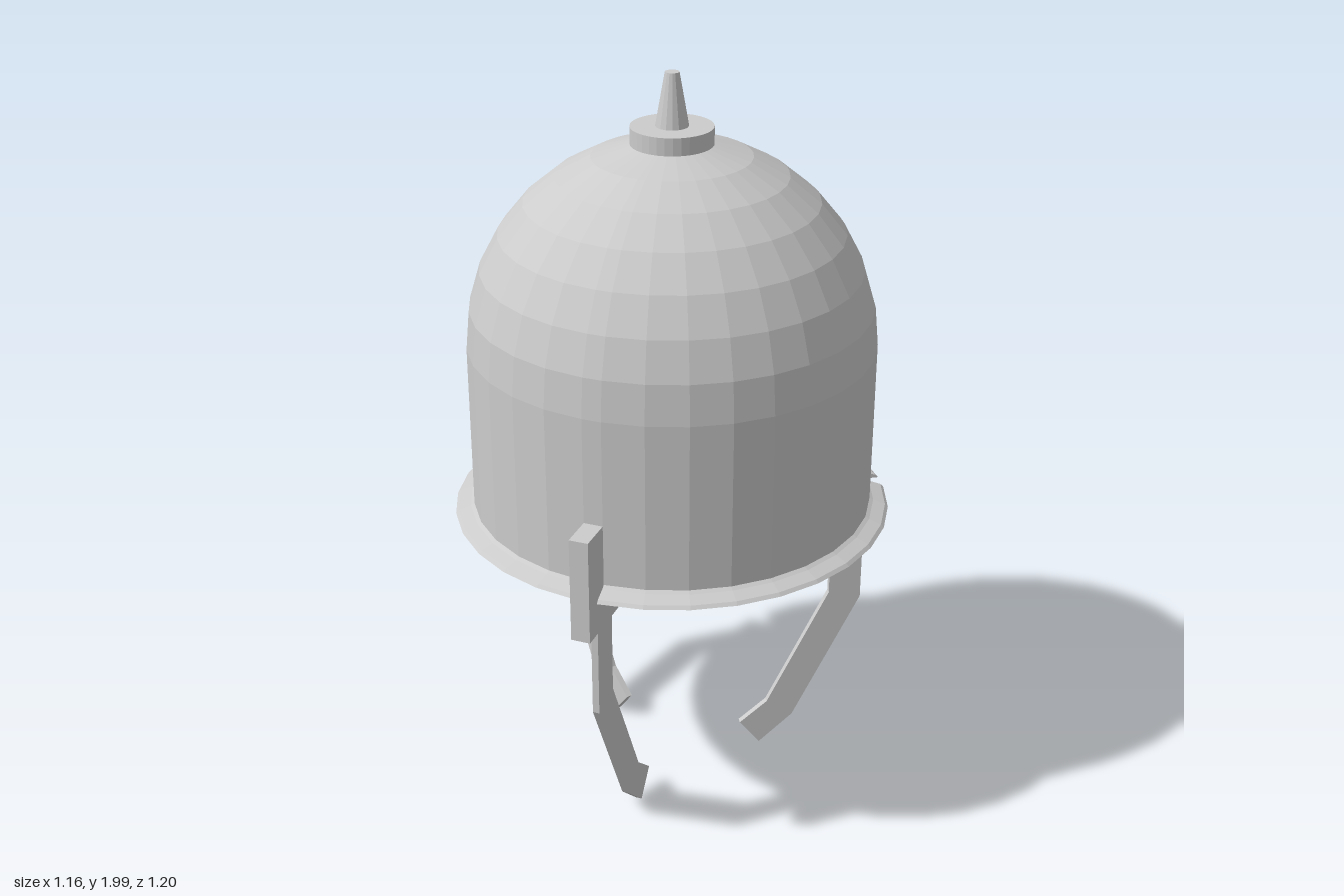
import * as THREE from 'three';

const material = new THREE.MeshStandardMaterial({ color: 0xcccccc, flatShading: true, side: THREE.DoubleSide });
const V = (x, y) => new THREE.Vector2(x, y);

const BASE = 0.83, SLOT_TOP = 1.02, SLOT_R = 0.44, R = 0.53, SPRING = 1.3;
const THIRD = (Math.PI * 2) / 3;
const HALF_SLOT = 0.025 / R; // half the angle taken up by a slot

function add(parent, name, geometry) {
  const mesh = new THREE.Mesh(geometry, material);
  mesh.name = name;
  parent.add(mesh);
  return mesh;
}

// turns a part drawn with radius along x to face the angle phi (0 = front)
const turn = (object, phi) => { object.rotation.y = phi - Math.PI / 2; };

export function createModel() {
  const model = new THREE.Group();
  model.name = 'domeOnLegs';
  const body = new THREE.Group();
  body.name = 'body';
  body.position.z = -0.02;
  model.add(body);

  // hemispherical upper profile
  const crown = [];
  for (let i = 0; i <= 8; i++) {
    const a = (i / 8) * Math.PI / 2;
    crown.push(V(Math.max(R * Math.cos(a), 0), SPRING + R * Math.sin(a)));
  }
  // brim and wall profile
  const edge = [V(0.58, BASE), V(0.572, 0.838), V(0.54, 0.85), V(R, 0.856)];
  const wallProfile = [V(0, BASE), ...edge, ...crown];
  // profile across a slot: recessed wall, ceiling, then the dome above
  const slotProfile = [V(0, BASE), V(SLOT_R, BASE), V(SLOT_R, SLOT_TOP), V(R, SLOT_TOP), ...crown];
  const slotSide = new THREE.Shape([V(SLOT_R, BASE), ...edge, V(R, SLOT_TOP), V(SLOT_R, SLOT_TOP)]);

  // thin bent leg, drawn as radius against height
  const legShape = new THREE.Shape([
    V(0.535, 0.885), V(0.535, 0.475), V(0.35, 0.095), V(0.255, 0.008),
    V(0.198, 0.08), V(0.275, 0.145), V(0.445, 0.495), V(0.445, 0.92),
  ]);
  const legGeometry = new THREE.ExtrudeGeometry(legShape, { depth: 0.018, bevelEnabled: false });
  legGeometry.translate(0, 0, -0.009);

  for (let i = 0; i < 3; i++) {
    const phi = i * THIRD;
    add(body, 'domeSection', new THREE.LatheGeometry(wallProfile, 10, phi + HALF_SLOT, THIRD - 2 * HALF_SLOT));
    add(body, 'slotSection', new THREE.LatheGeometry(slotProfile, 1, phi - HALF_SLOT, 2 * HALF_SLOT));
    for (const s of [-1, 1]) turn(add(body, 'slotSide', new THREE.ShapeGeometry(slotSide)), phi + s * HALF_SLOT);
    turn(add(body, 'leg', legGeometry), phi);
  }

  // bracket filling the front slot
  const bracket = add(body, 'frontBracket', new THREE.BoxGeometry(0.05, 0.28, 0.18));
  bracket.position.set(0, 0.88, 0.53);

  // finial
  add(body, 'finialDisc', new THREE.CylinderGeometry(0.105, 0.105, 0.045, 32)).position.y = 1.8425;
  add(body, 'finialSpike', new THREE.CylinderGeometry(0.018, 0.042, 0.135, 16)).position.y = 1.9325;

  return model;
}
